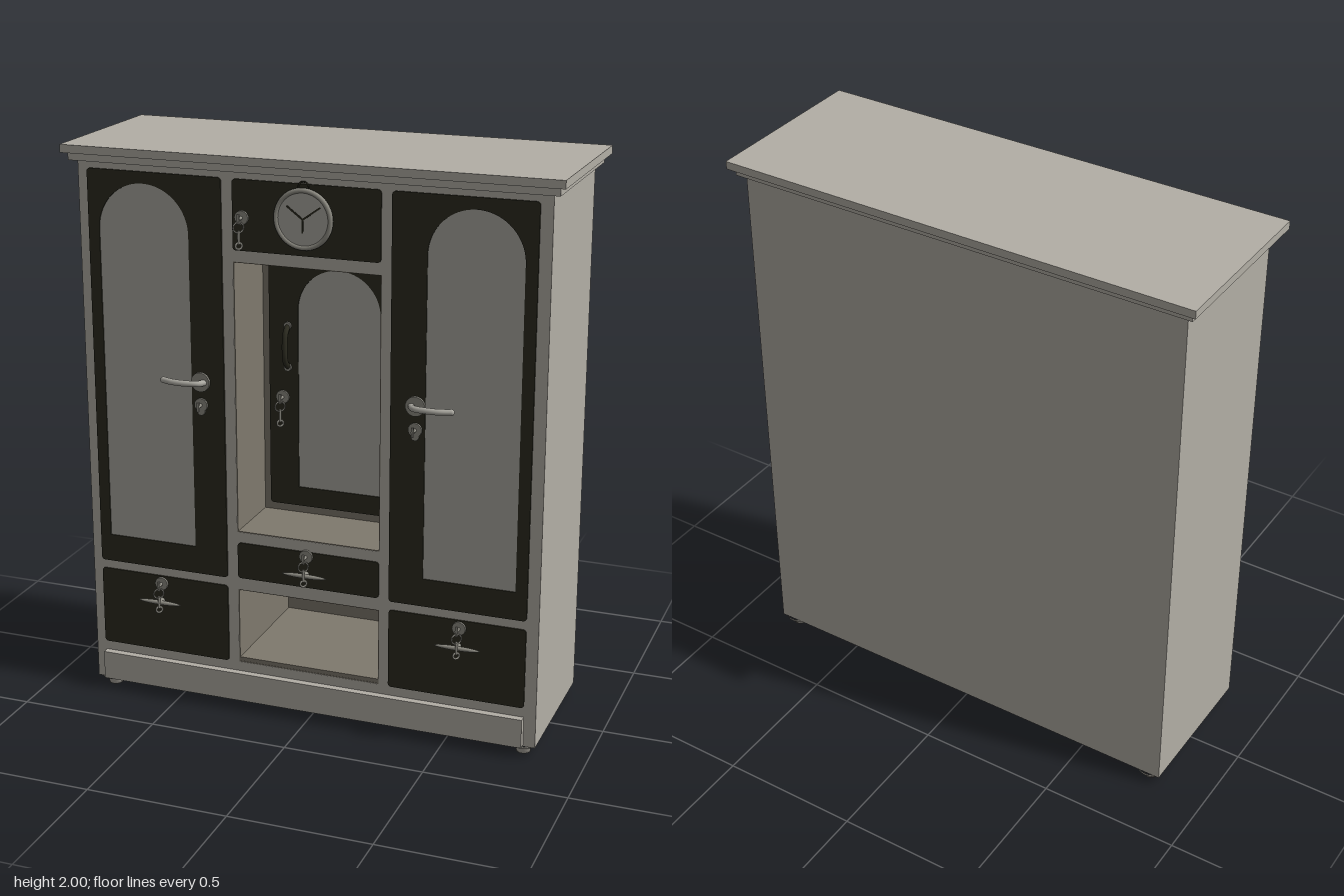
import * as THREE from 'three';

const mat = (name, color, side = THREE.FrontSide) => {
  const m = new THREE.MeshStandardMaterial({ color, side });
  m.name = name;
  return m;
};

export function createModel() {
  const model = new THREE.Group();
  model.name = 'wardrobe';
  const body = mat('pale grey wood', 0xb3afa6);
  const dark = mat('dark olive panel', 0x2c2b20);
  const inner = mat('shaded niche lining', 0x7f796d, THREE.DoubleSide);
  const glass = mat('mirror grey', 0xacaaa2);
  const metal = mat('handle metal', 0x8f8d84);
  const FRONT = 0.27, BACK = -0.275;

  const add = (name, geo, material, x = 0, y = 0, z = 0, parent = model) => {
    const m = new THREE.Mesh(geo, material);
    m.name = name;
    m.position.set(x, y, z);
    parent.add(m);
    return m;
  };
  const box = (name, material, x0, x1, y0, y1, z0, z1) =>
    add(name, new THREE.BoxGeometry(x1 - x0, y1 - y0, z1 - z0), material,
      (x0 + x1) / 2, (y0 + y1) / 2, (z0 + z1) / 2);
  const group = (name, x, y, z) => {
    const g = new THREE.Group();
    g.name = name;
    g.position.set(x, y, z);
    model.add(g);
    return g;
  };
  // Disc facing +z, centred on its own depth
  const disc = (r, depth, seg = 32) =>
    new THREE.CylinderGeometry(r, r, depth, seg).rotateX(Math.PI / 2);

  // Outline helpers
  const rect = (T, x0, x1, y0, y1) => new T([[x0, y0], [x1, y0], [x1, y1], [x0, y1]]
    .map(p => new THREE.Vector2(...p)));
  const rounded = (x0, x1, y0, y1, r = 0.012) => {
    const s = new THREE.Shape();
    s.moveTo(x0 + r, y0);
    s.absarc(x1 - r, y0 + r, r, -Math.PI / 2, 0);
    s.absarc(x1 - r, y1 - r, r, 0, Math.PI / 2);
    s.absarc(x0 + r, y1 - r, r, Math.PI / 2, Math.PI);
    s.absarc(x0 + r, y0 + r, r, Math.PI, Math.PI * 1.5);
    return s;
  };
  const arch = (T, x0, x1, y0, y1) => {
    const r = (x1 - x0) / 2, s = new T();
    s.moveTo(x0, y0);
    s.lineTo(x1, y0);
    s.absarc(x0 + r, y1 - r, r, 0, Math.PI);
    s.lineTo(x0, y0);
    return s;
  };
  const extrude = (shape, depth) =>
    new THREE.ExtrudeGeometry(shape, { depth, bevelEnabled: false, curveSegments: 20 });

  // Carcass with two open niches, closed by a back board
  const N = { x0: -0.262, x1: 0.262 };
  const carcass = rect(THREE.Shape, -0.825, 0.825, 0.035, 1.95);
  carcass.holes.push(rect(THREE.Path, N.x0, N.x1, 0.675, 1.64), rect(THREE.Path, N.x0, N.x1, 0.18, 0.46));
  add('carcass', extrude(carcass, 0.47), body, 0, 0, FRONT - 0.47);
  box('backBoard', body, -0.825, 0.825, 0.035, 1.95, BACK, FRONT - 0.47);

  // Stepped cornice and plinth
  box('corniceLower', body, -0.85, 0.85, 1.945, 1.972, -0.298, 0.292);
  box('corniceTop', body, -0.87, 0.87, 1.972, 2, -0.32, 0.31);
  box('plinth', body, -0.787, 0.783, 0.04, 0.145, FRONT, 0.296);

  // Niche linings
  const niche = (name, y0, y1, zBack) => {
    const t = 0.003, z1 = FRONT - 0.001;
    box(name + 'Back', inner, N.x0, N.x1, y0, y1, zBack - t, zBack);
    box(name + 'Left', inner, N.x1 - t, N.x1, y0, y1, zBack, z1);
    box(name + 'Right', inner, N.x0, N.x0 + t, y0, y1, zBack, z1);
    box(name + 'Floor', inner, N.x0, N.x1, y0, y0 + t, zBack, z1);
    box(name + 'Ceiling', inner, N.x0, N.x1, y1 - t, y1, zBack, z1);
  };
  niche('upperNiche', 0.675, 1.64, 0.02);
  niche('lowerNiche', 0.18, 0.46, -0.195);
  box('lowerShelf', inner, N.x0, N.x1, 0.18, 0.198, -0.195, FRONT - 0.002);

  // Turned feet
  const foot = new THREE.LatheGeometry([[0, 0], [0.025, 0], [0.026, 0.01], [0.034, 0.024], [0.048, 0.029], [0.048, 0.037]]
    .map(p => new THREE.Vector2(...p)), 20);
  for (const x of [-0.775, 0.775]) for (const z of [-0.235, 0.23]) add('foot', foot, body, x, 0, z);

  // Doors with arched mirrors
  const door = (name, d, w, z) => {
    const s = rounded(...d);
    s.holes.push(arch(THREE.Path, ...w));
    add(name, extrude(s, 0.006), dark, 0, 0, z);
    add(name + 'Mirror', new THREE.ShapeGeometry(arch(THREE.Shape, ...w), 20), glass, 0, 0, z + 0.002);
  };
  door('rightDoor', [-0.79, -0.3, 0.5, 1.92], [-0.75, -0.42, 0.6, 1.88], FRONT);
  door('leftDoor', [0.297, 0.783, 0.5, 1.92], [0.418, 0.742, 0.6, 1.88], FRONT);
  door('nicheDoor', [-0.235, 0.225, 0.705, 1.61], [-0.127, 0.175, 0.775, 1.575], 0.02);

  // Flat drawer fronts and clock panel
  const panel = (name, ...r) => add(name, extrude(rounded(...r), 0.005), dark, 0, 0, FRONT);
  panel('rightDrawer', -0.79, -0.3, 0.18, 0.468);
  panel('leftDrawer', 0.297, 0.783, 0.18, 0.468);
  panel('centreDrawer', -0.26, 0.26, 0.505, 0.637);
  panel('clockPanel', -0.26, 0.26, 1.68, 1.92);

  // Clock
  const clock = group('clock', -0.005, 1.805, FRONT);
  add('clockCase', disc(0.1, 0.016, 48), dark, 0, 0, 0.008, clock);
  add('clockRim', new THREE.TorusGeometry(0.095, 0.009, 10, 48), metal, 0, 0, 0.013, clock);
  add('clockFace', new THREE.CircleGeometry(0.09, 48), glass, 0, 0, 0.0175, clock);
  add('clockLoop', new THREE.TorusGeometry(0.018, 0.003, 8, 20), dark, 0, 0.105, 0.008, clock);
  for (const [a, len] of [[0.62, 0.075], [2.5, 0.07], [-1.6, 0.045]]) {
    const hand = add('clockHand', new THREE.BoxGeometry(len, 0.006, 0.002).translate(len / 2, 0, 0), dark, 0, 0, 0.019, clock);
    hand.rotation.z = a;
  }

  // Lock rosette with a key in it and, optionally, a second key hanging from the ring
  const lock = (name, x, y, z, hanging) => {
    const g = group(name, x, y, z);
    add('rosette', disc(0.024, 0.008, 20), metal, 0, 0, 0.009, g);
    add('keyStem', disc(0.006, 0.03, 10), metal, 0, 0, 0.023, g);
    add('keyBow', new THREE.BoxGeometry(0.008, 0.034, 0.008), metal, 0, 0, 0.036, g);
    if (!hanging) return;
    add('keyRing', new THREE.TorusGeometry(0.018, 0.003, 6, 16).rotateY(0.7), metal, 0, -0.028, 0.036, g);
    add('spareKeyStem', new THREE.CylinderGeometry(0.005, 0.005, 0.045, 8), metal, 0, -0.062, 0.034, g);
    add('spareKeyBow', new THREE.TorusGeometry(0.011, 0.004, 6, 14).rotateY(0.7), metal, 0, -0.09, 0.034, g);
  };
  lock('clockPanelLock', -0.225, 1.793, FRONT, true);
  lock('nicheDoorLock', -0.185, 1.105, 0.02, true);

  // Lever handles on the tall doors
  for (const s of [-1, 1]) {
    const g = group('leverHandle', s * 0.385, 1.21, FRONT);
    add('rosette', disc(0.034, 0.01, 24), metal, 0, 0, 0.01, g);
    const path = new THREE.CatmullRomCurve3([[-0.015, 0.01], [0, 0.034], [0.04, 0.043], [0.09, 0.042], [0.13, 0.03]]
      .map(([x, z]) => new THREE.Vector3(s * x, 0, z)));
    add('lever', new THREE.TubeGeometry(path, 24, 0.011, 10), glass, 0, 0, 0, g);
    add('leverTip', new THREE.SphereGeometry(0.011, 10, 8), glass, s * 0.13, 0, 0.03, g);
    lock('doorLock', s * 0.385, 1.128, FRONT, false);
    add('lockPlate', disc(0.014, 0.007, 16), metal, s * 0.385, 1.105, FRONT + 0.009);
  }

  // Drawer pulls: rosette, drop arm, spindle-shaped bar
  for (const [x, y] of [[-0.555, 0.44], [0.55, 0.44], [-0.003, 0.622]]) {
    lock('drawerLock', x, y, FRONT, true);
    const g = group('drawerPull', x, y - 0.065, FRONT);
    const bar = add('pullBar', new THREE.SphereGeometry(1, 20, 10), metal, 0, 0, 0.028, g);
    bar.scale.set(0.082, 0.008, 0.008);
    add('pullPost', disc(0.009, 0.026, 10), metal, 0, 0, 0.016, g);
  }

  // Vertical grip on the niche door
  const grip = new THREE.CatmullRomCurve3([[1.215, 0.024], [1.24, 0.05], [1.29, 0.058], [1.34, 0.05], [1.365, 0.024]]
    .map(([y, z]) => new THREE.Vector3(-0.165, y, z)));
  add('nicheDoorGrip', new THREE.TubeGeometry(grip, 24, 0.01, 10), dark);
  for (const y of [1.215, 1.365]) add('gripMount', disc(0.014, 0.008, 14), metal, -0.165, y, 0.029);

  return model;
}
